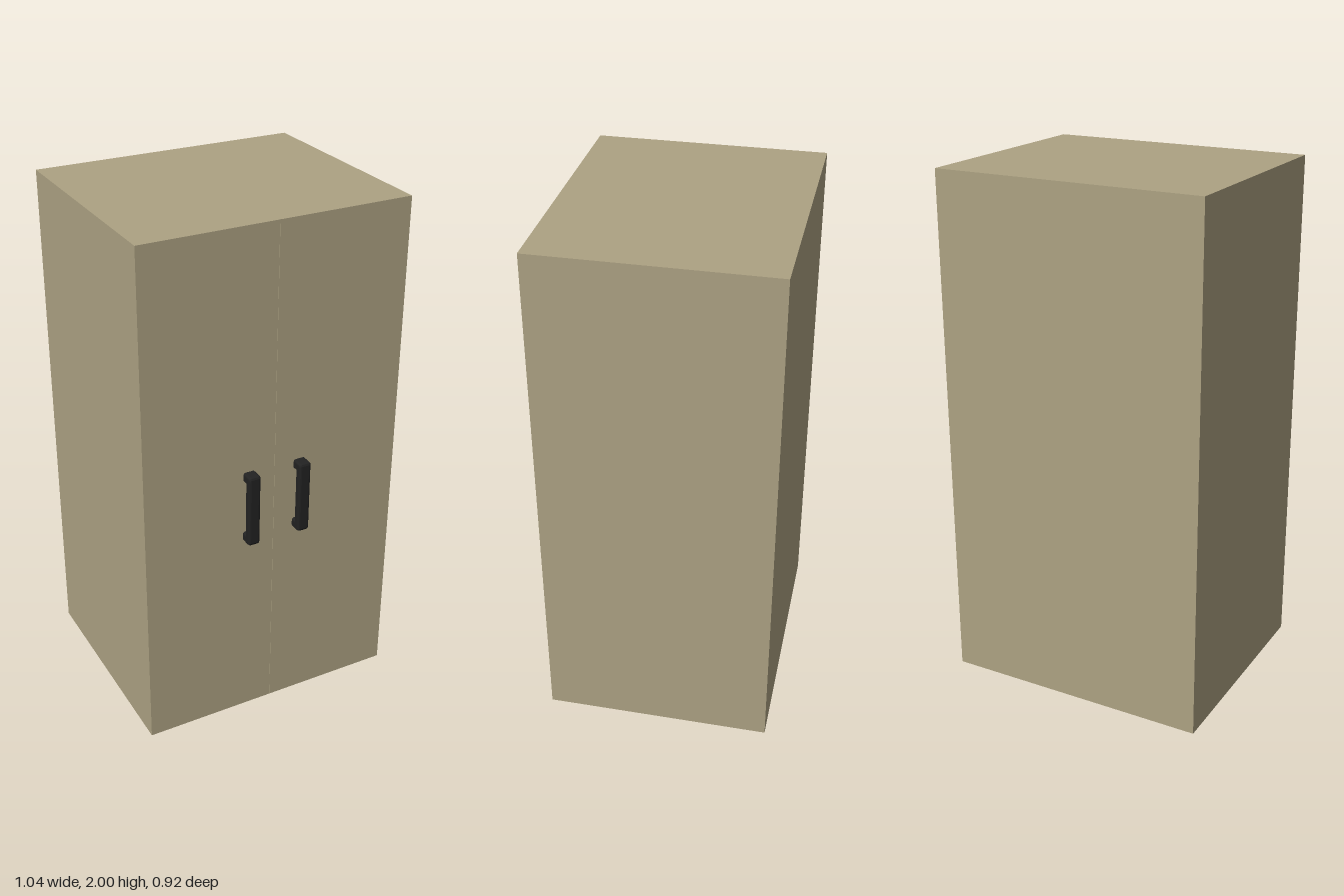
import * as THREE from 'three';

const W = 1.04, H = 2, BACK = -0.46, FRONT = 0.411, DOOR = 0.002, GAP = 0.002;

export function createModel() {
  const group = new THREE.Group();
  const wood = new THREE.MeshStandardMaterial({ color: 0xada283 });
  const black = new THREE.MeshStandardMaterial({ color: 0x222222, flatShading: true });

  const add = (name, geometry, material, x, y, z) => {
    const mesh = new THREE.Mesh(geometry, material);
    mesh.name = name;
    mesh.position.set(x, y, z);
    group.add(mesh);
  };

  // Cabinet body
  const depth = FRONT - DOOR - BACK;
  add('cabinetBody', new THREE.BoxGeometry(W, H, depth), wood, 0, H / 2, BACK + depth / 2);

  // Bracket-shaped handle: side profile (depth, height) extruded across its width
  const bottom = 0.782, top = 1.072, foot = 0.4, face = 0.458, c = 0.01;
  const profile = new THREE.Shape([
    [foot, bottom], [face - c, bottom], [face - 0.003, bottom + 0.003], [face, bottom + c],
    [face, top - c], [face - 0.003, top - 0.003], [face - c, top], [foot, top],
    [foot, top - 0.038], [face - 0.032, top - 0.038],
    [face - 0.032, bottom + 0.038], [foot, bottom + 0.038],
  ].map(([z, y]) => new THREE.Vector2(z, y)));
  const width = 0.047, bevel = 0.009;
  const handle = new THREE.ExtrudeGeometry(profile, {
    depth: width - 2 * bevel, bevelEnabled: true, bevelThickness: bevel,
    bevelSize: bevel, bevelOffset: -bevel, bevelSegments: 3,
  });
  handle.rotateY(-Math.PI / 2);
  handle.translate(width / 2 - bevel, 0, 0);

  // Two flush doors with a fine seam between them, each with a handle
  const doorWidth = (W - GAP) / 2;
  for (const [side, s] of [['left', 1], ['right', -1]]) {
    add(side + 'Door', new THREE.BoxGeometry(doorWidth, H, DOOR), wood,
      s * (GAP + doorWidth) / 2, H / 2, FRONT - DOOR / 2);
    add(side + 'Handle', handle, black, s * 0.104, 0, 0);
  }
  return group;
}
